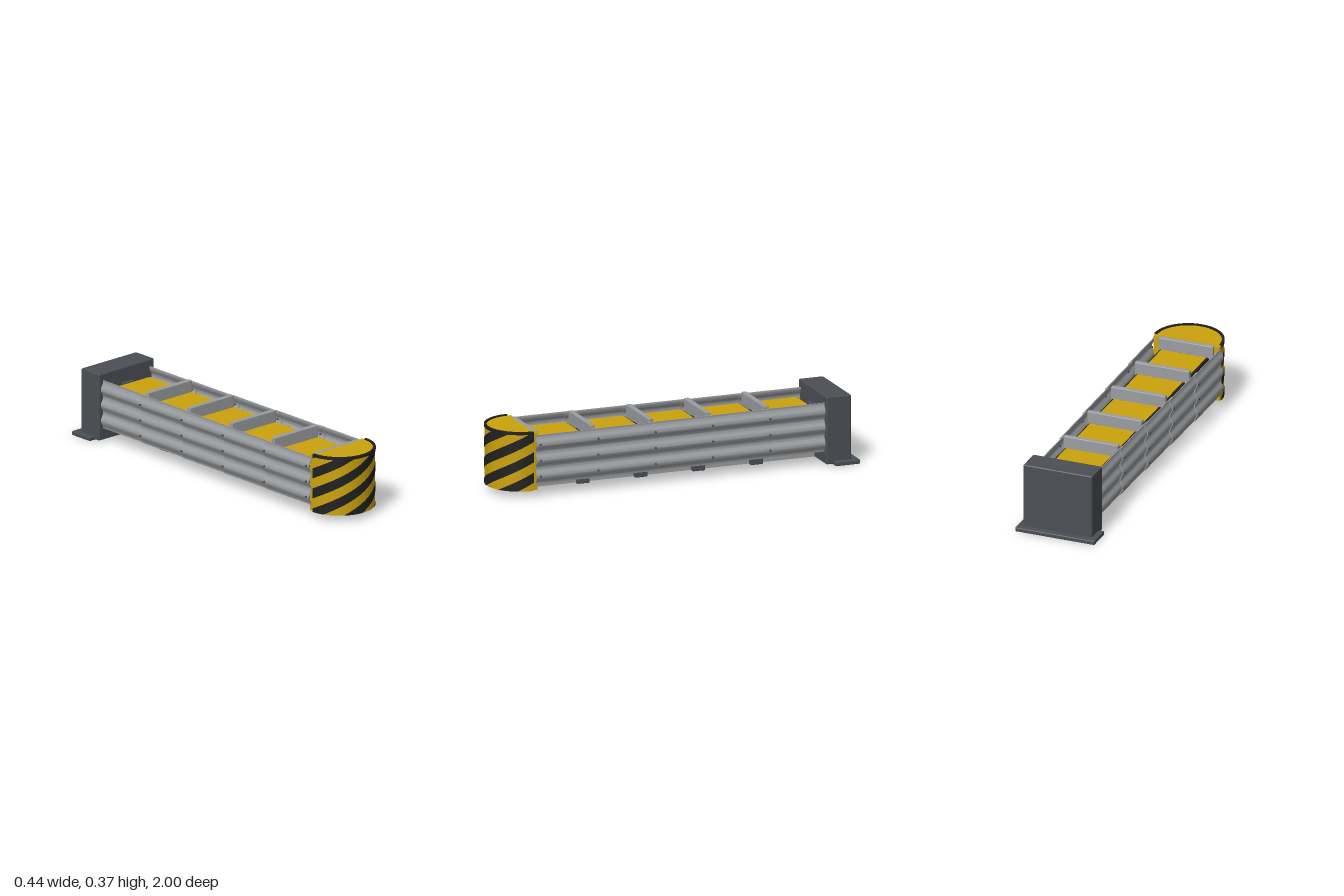
import * as THREE from 'three';
import { RoundedBoxGeometry } from 'three/addons/geometries/RoundedBoxGeometry.js';
import { toCreasedNormals } from 'three/addons/utils/BufferGeometryUtils.js';

const mat = (name, color, extra = {}) => {
  const m = new THREE.MeshStandardMaterial({ color, ...extra });
  m.name = name;
  return m;
};

export function createModel() {
  const yellow = mat('safety yellow', 0xcca30c);
  const black = mat('stripe black', 0x202020);
  const steel = mat('galvanised steel', 0x9a9da0);
  const dark = mat('dark steel', 0x4b4f55);
  const model = new THREE.Group();

  const add = (name, geo, material, x = 0, y = 0, z = 0) => {
    const mesh = new THREE.Mesh(geo, material);
    mesh.name = name;
    mesh.position.set(x, y, z);
    model.add(mesh);
    return mesh;
  };
  // Box given by its limits, with an optional rounded edge
  const box = (name, material, [x0, x1], [y0, y1], [z0, z1], r = 0) => {
    const s = [x1 - x0, y1 - y0, z1 - z0];
    const geo = r ? new RoundedBoxGeometry(...s, 2, r) : new THREE.BoxGeometry(...s);
    return add(name, geo, material, (x0 + x1) / 2, (y0 + y1) / 2, (z0 + z1) / 2);
  };

  // Rear backstop on its base plate
  box('backstop', dark, [-0.193, 0.193], [0.006, 0.37], [-0.96, -0.822], 0.007);
  box('basePlate', dark, [-0.222, 0.222], [0, 0.023], [-1, -0.862], 0.005);
  box('backstopMount', dark, [-0.035, 0.035], [0.1, 0.29], [-0.83, -0.8]);

  // Ground rail
  box('groundRail', steel, [-0.024, 0.024], [0.007, 0.034], [-0.87, 0.81]);

  // Frames with their feet
  const pitch = 0.3225;
  for (let i = 0; i < 5; i++) {
    const z = 0.79 - i * pitch;
    box('diaphragm', steel, [-0.153, 0.153], [0.066, 0.345], [z - 0.014, z + 0.014], 0.004);
    box('diaphragmLeg', steel, [-0.03, 0.03], [0.045, 0.075], [z - 0.02, z + 0.02]);
    box('diaphragmHub', black, [-0.045, 0.045], [0.1, 0.28], [z - 0.028, z + 0.028]);
    const h = i === 0 ? 0.034 : 0.05;
    box('railFoot', dark, [-0.047, 0.047], [0.003, h], [z - 0.027, z + 0.043], 0.005);
  }

  // Energy absorbing cartridges with inset yellow lids
  for (let i = 0; i < 5; i++) {
    const z = 0.629 - i * pitch;
    box('cartridge', black, [-0.138, 0.138], [0.064, 0.29], [z - 0.134, z + 0.134], 0.008);
    box('cartridgeLid', yellow, [-0.126, 0.126], [0.287, 0.293], [z - 0.122, z + 0.122]);
  }

  // Telescoping corrugated side panels, each tucked inside the one in front
  const bolts = [0.113, 0.198, 0.283];
  const wave = y => 0.016 * (0.5 + 0.5 * Math.cos((y - 0.113) / 0.085 * Math.PI * 2));
  const panelGeometry = (side, length) => {
    const outer = [], inner = [], n = 42;
    for (let i = 0; i <= n; i++) {
      const y = 0.07 + 0.262 * i / n;
      outer.push(new THREE.Vector2(side * wave(y), y));
      inner.unshift(new THREE.Vector2(side * (wave(y) - 0.005), y));
    }
    const geo = new THREE.ExtrudeGeometry(new THREE.Shape([...outer, ...inner]),
      { depth: length, bevelEnabled: false });
    return toCreasedNormals(geo, 0.7);
  };
  for (const side of [1, -1]) {
    for (let i = 0; i < 5; i++) {
      const x = 0.187 - i * 0.0055;
      const front = i === 0 ? 0.8 : 0.8 - i * pitch + 0.01;
      const rear = i === 4 ? -0.824 : 0.8 - (i + 1) * pitch - 0.03;
      add('sidePanel', panelGeometry(side, front - rear), steel, side * x, 0, rear);
      // Bolts through the crests at the front edge of each panel
      for (const y of bolts) {
        const boltX = x + 0.011 + (i ? 0.0055 : 0);
        const bolt = add('panelBolt', new THREE.CylinderGeometry(0.0055, 0.0055, 0.024, 6),
          dark, side * boltX, y, 0.78 - i * pitch);
        bolt.rotation.z = Math.PI / 2;
      }
    }
  }

  // Rounded nose: yellow core, black top rim, flat yellow back
  const R = 0.187, zc = 0.811, y0 = 0.034, y1 = 0.338;
  const extrudeUp = (shape, depth) => {
    const geo = new THREE.ExtrudeGeometry(shape, { depth, bevelEnabled: false, curveSegments: 40 });
    return toCreasedNormals(geo.rotateX(-Math.PI / 2), 0.6);
  };
  const half = new THREE.Shape();
  half.absarc(0, 0, R - 0.002, Math.PI, Math.PI * 2, false);
  add('noseCore', extrudeUp(half, 0.346 - y0), yellow, 0, y0, zc);
  const ring = new THREE.Shape();
  ring.absarc(0, 0, R + 0.002, Math.PI, Math.PI * 2, false);
  ring.absarc(0, 0, R - 0.012, Math.PI * 2, Math.PI, true);
  add('noseRim', extrudeUp(ring, 0.352 - y1), black, 0, y1, zc);
  box('noseBack', yellow, [-0.185, 0.185], [0.038, 0.344], [0.79, 0.812]);

  // Helical stripe on the nose, cut off at its lower and upper edges
  const perDegree = 1 / 601, columns = 90;
  const stripe = (startDegrees, widthDegrees, radius) => {
    const pos = [], nor = [];
    const point = (deg, y) => {
      const a = THREE.MathUtils.degToRad(deg);
      pos.push(Math.sin(a) * radius, y, zc + Math.cos(a) * radius);
      nor.push(Math.sin(a), 0, Math.cos(a));
    };
    const height = (deg, start) =>
      THREE.MathUtils.clamp(y1 + (deg - start) * perDegree, y0, y1);
    for (let c = 0; c < columns; c++) {
      const a = -90 + 180 * c / columns, b = a + 180 / columns;
      const [la, lb] = [a, b].map(d => height(d, startDegrees + widthDegrees));
      const [ha, hb] = [a, b].map(d => height(d, startDegrees));
      if (ha - la + hb - lb < 1e-6) continue;
      point(a, la); point(b, lb); point(b, hb);
      point(a, la); point(b, hb); point(a, ha);
    }
    const geo = new THREE.BufferGeometry();
    geo.setAttribute('position', new THREE.Float32BufferAttribute(pos, 3));
    geo.setAttribute('normal', new THREE.Float32BufferAttribute(nor, 3));
    return geo;
  };
  for (let m = -2; m <= 4; m++) {
    const geo = stripe(15 + 66 * m, 33, R);
    if (geo.attributes.position.count) add('noseStripe', geo, black, 0, 0, 0);
  }
  return model;
}
